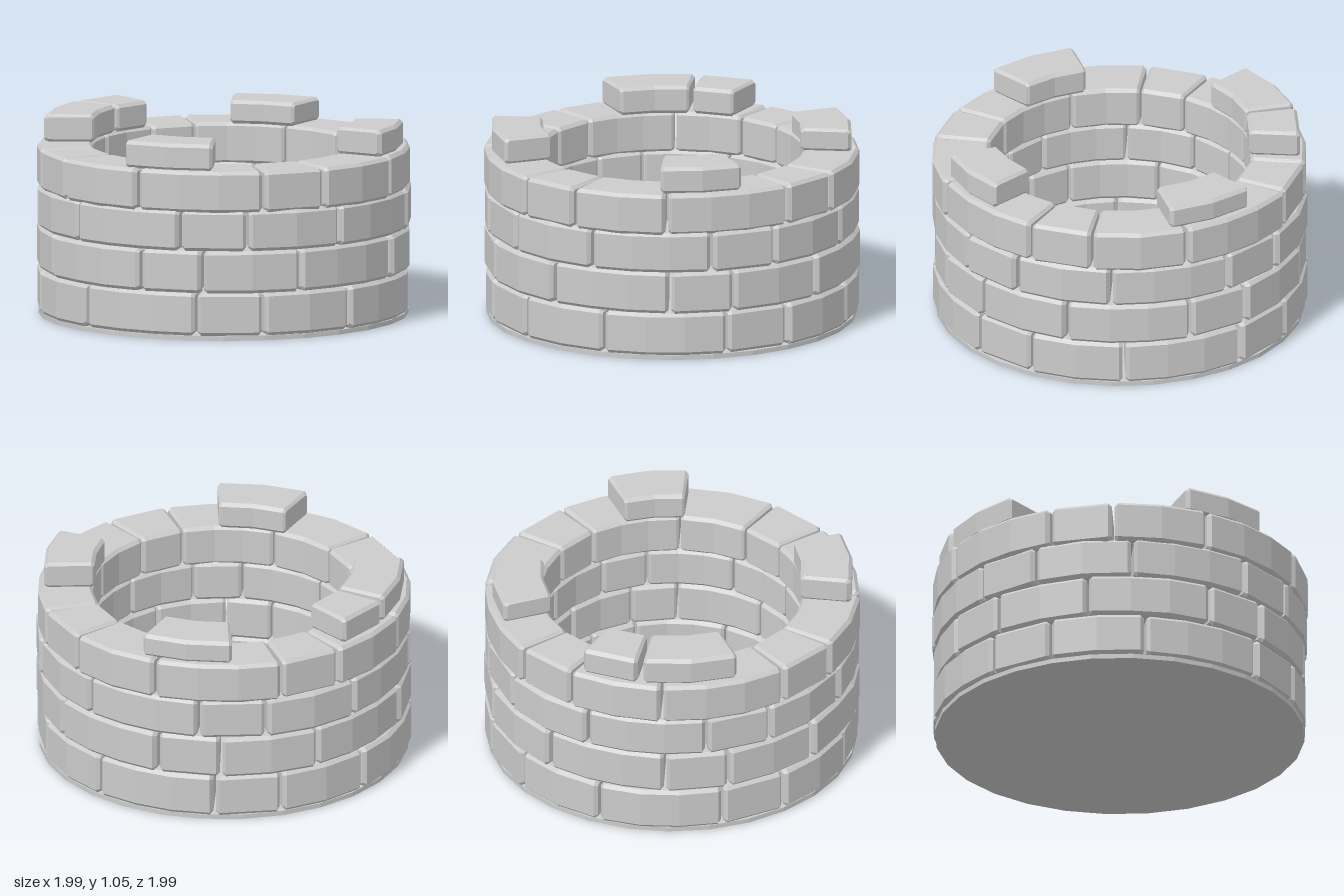
import * as THREE from 'three';

const stone = new THREE.MeshStandardMaterial({ color: 0xcccccc, flatShading: true });
const rad = THREE.MathUtils.degToRad;

// Small repeatable variation in -1..1
let seed = 7;
function vary() {
  seed = (seed * 16807) % 2147483647;
  return (seed / 2147483647) * 2 - 1;
}

// Chamfered curved brick swept from angle a0 to a1 (degrees, 0 = front, 90 = +x)
function brick(name, a0, a1, rIn, rOut, y0, y1, segments) {
  const bevel = 0.018, gap = 0.45, bevelAngle = 1.1;
  const start = a0 + gap, end = a1 - gap;
  const stations = [[start, bevel]];
  for (let i = 0; i <= segments; i++) {
    const s = start + bevelAngle + ((end - start - 2 * bevelAngle) * i) / segments;
    stations.push([s, 0]);
  }
  stations.push([end, bevel]);

  const positions = [];
  for (const [angle, inset] of stations) {
    const out = rOut - inset + vary() * 0.004, inn = rIn + inset * 0.6;
    const lo = y0 + inset, hi = y1 - inset * 0.8, b = bevel * (inset ? 0.5 : 1);
    const section = [
      [out, lo + b], [out, hi - b], [out - b, hi], [inn + b, hi],
      [inn, hi - b], [inn, lo + b], [inn + b, lo], [out - b, lo],
    ];
    for (const [r, y] of section) positions.push(r * Math.sin(rad(angle)), y, r * Math.cos(rad(angle)));
  }

  const index = [], n = 8, last = (stations.length - 1) * n;
  for (let i = 0; i < stations.length - 1; i++) {
    for (let j = 0; j < n; j++) {
      const a = i * n + j, b = i * n + ((j + 1) % n);
      index.push(a, a + n, b + n, a, b + n, b);
    }
  }
  for (let j = 1; j < n - 1; j++) index.push(0, j, j + 1, last, last + j + 1, last + j);

  const geometry = new THREE.BufferGeometry();
  geometry.setAttribute('position', new THREE.Float32BufferAttribute(positions, 3));
  geometry.setIndex(index);
  const flat = geometry.toNonIndexed();
  flat.computeVertexNormals();
  const mesh = new THREE.Mesh(flat, stone);
  mesh.name = name;
  return mesh;
}

export function createModel() {
  const tower = new THREE.Group();
  tower.name = 'roundStoneTower';

  // Floor slab
  const floor = new THREE.Mesh(new THREE.CylinderGeometry(0.98, 0.98, 0.025, 28), stone);
  floor.name = 'floor';
  floor.position.y = 0.0125;
  tower.add(floor);

  // Four courses; each quadrant holds a short, a medium and a long brick
  const courses = [
    { y0: 0.025, y1: 0.253, joints: [30, 51, 81] },
    { y0: 0.253, y1: 0.478, joints: [12, 32, 63] },
    { y0: 0.478, y1: 0.693, joints: [25, 46, 77] },
    { y0: 0.685, y1: 0.905, joints: [51, 71, 101] },
  ];
  courses.forEach(({ y0, y1, joints }, c) => {
    const course = new THREE.Group();
    course.name = `course${c + 1}`;
    const ends = [...joints, joints[0] + 90];
    for (let q = 0; q < 4; q++) {
      for (let k = 0; k < 3; k++) {
        const rOut = 0.99 + vary() * 0.006;
        course.add(brick('wallBrick', ends[k] + q * 90, ends[k + 1] + q * 90, 0.695, rOut, y0, y1, k + 1));
      }
    }
    tower.add(course);
  });

  // Loose battlement blocks: start angle, end angle, top height, facets
  const battlements = new THREE.Group();
  battlements.name = 'battlements';
  const blocks = [
    [8.5, 36, 1.045, 2],
    [95.5, 126, 1.025, 2],
    [164, 183.5, 1.045, 1],
    [184.5, 216, 1.05, 2],
    [274.5, 305.5, 1.045, 2],
  ];
  for (const [a0, a1, top, facets] of blocks) {
    battlements.add(brick('battlementBlock', a0, a1, 0.685, 0.955, 0.9, top, facets));
  }
  tower.add(battlements);
  return tower;
}
